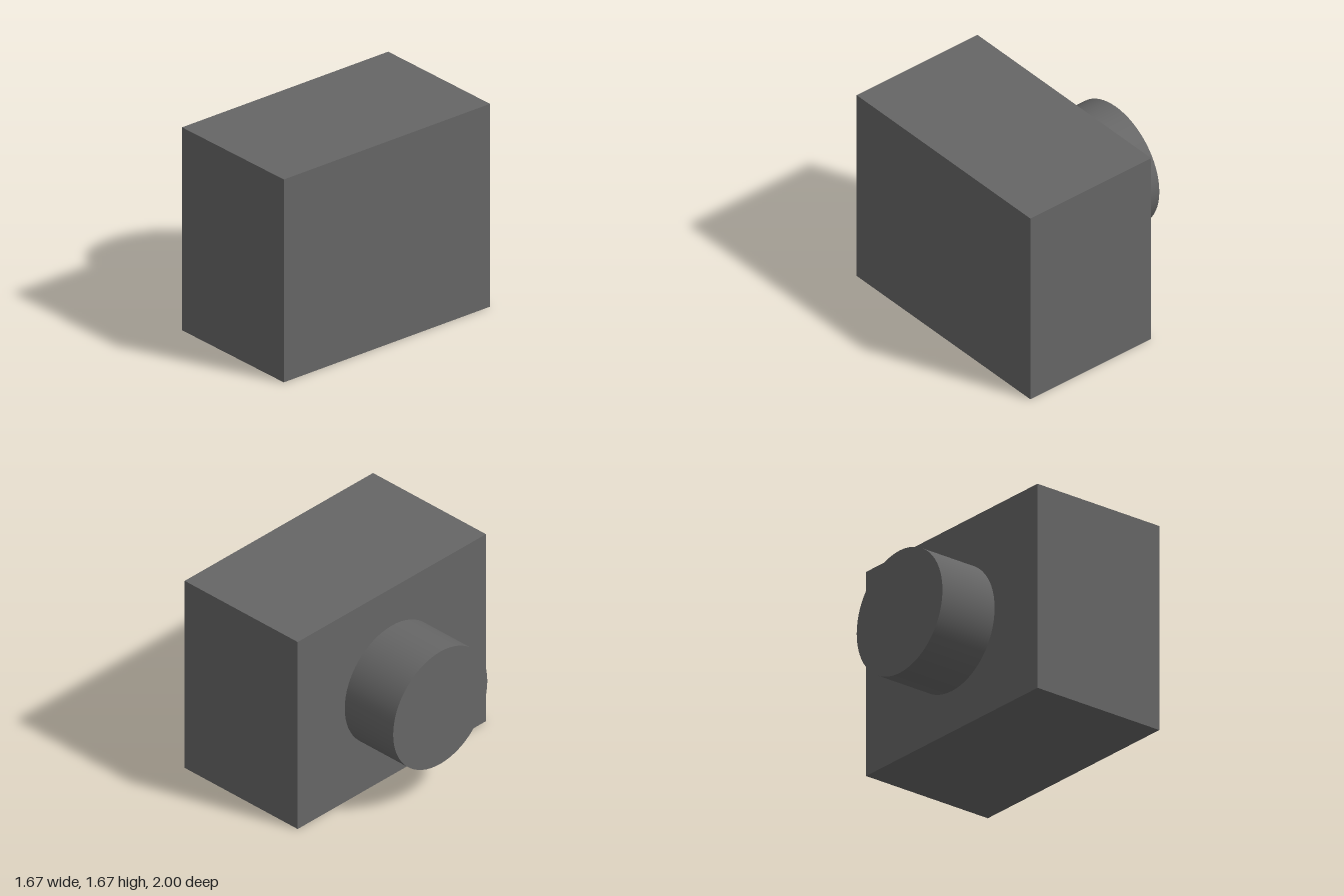
import * as THREE from 'three';

export function createModel() {
  const model = new THREE.Group();
  const darkGrey = new THREE.MeshStandardMaterial({ color: 0x666666 });
  darkGrey.name = 'darkGrey';

  // Rectangular housing
  const body = new THREE.Mesh(new THREE.BoxGeometry(1.1667, 1.6667, 2), darkGrey);
  body.name = 'body';
  body.position.set(0.25, 0.8333, 0);
  model.add(body);

  // Round boss standing out from the -x face
  const boss = new THREE.Mesh(new THREE.CylinderGeometry(0.5, 0.5, 0.5, 64), darkGrey);
  boss.name = 'boss';
  boss.rotation.z = Math.PI / 2;
  boss.position.set(-0.5833, 0.8333, 0);
  model.add(boss);

  return model;
}
